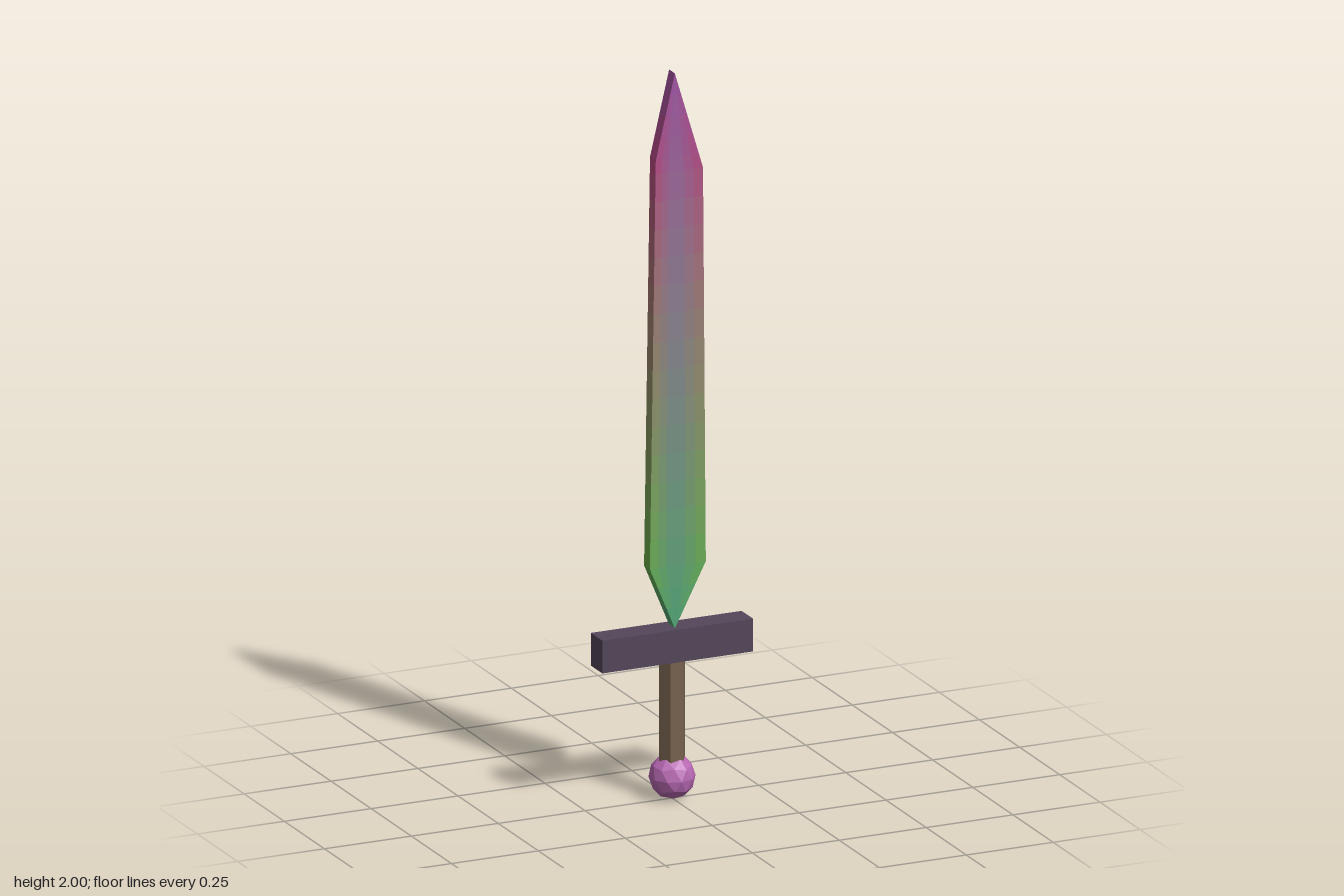
import * as THREE from 'three';

const mat = (color) => new THREE.MeshStandardMaterial({ color, flatShading: true });

function addPart(group, name, geometry, color, y) {
  const mesh = new THREE.Mesh(geometry, mat(color));
  mesh.name = name;
  mesh.position.y = y;
  group.add(mesh);
  return mesh;
}

// Piecewise-linear lookup in a list of [y, value] pairs
function sample(keys, y) {
  let i = 1;
  while (i < keys.length - 1 && y > keys[i][0]) i++;
  const [y0, v0] = keys[i - 1], [y1, v1] = keys[i];
  return THREE.MathUtils.lerp(v0, v1, THREE.MathUtils.clamp((y - y0) / (y1 - y0), 0, 1));
}

function sampleColor(keys, y) {
  const channel = (c) => sample(keys.map(([ky, hex]) => [ky, new THREE.Color(hex)[c]]), y);
  return new THREE.Color(channel('r'), channel('g'), channel('b'));
}

// Geometry from four-cornered faces, corners counter-clockwise from outside
function quads(faces) {
  const pos = [];
  for (const [a, b, c, d] of faces) pos.push(...a, ...b, ...c, ...a, ...c, ...d);
  const g = new THREE.BufferGeometry();
  g.setAttribute('position', new THREE.Float32BufferAttribute(pos, 3));
  g.computeVertexNormals();
  return g;
}

// Slightly lopsided flat blade, sliced into bands that shift in colour
function createBlade() {
  const blade = new THREE.Group();
  blade.name = 'blade';
  const half = 0.018, columns = 3;
  const leftEdge = [[0.472, 0], [0.645, 0.089], [1.73, 0.081], [2, 0]];
  const rightEdge = [[0.472, 0], [0.645, -0.072], [1.767, -0.055], [2, 0]];
  const edgeColors = [[0.472, 0x4fa578], [0.645, 0x68b048], [1.75, 0xb84880], [2, 0xa055a5]];
  const coreColors = [[0.472, 0x4fa578], [2, 0xa055a5]];

  // Band heights, with breaks at every corner of the outline
  const levels = [0.472];
  for (const [top, n] of [[0.645, 3], [1.73, 14], [1.767, 1], [2, 4]]) {
    const from = levels[levels.length - 1];
    for (let i = 1; i <= n; i++) levels.push(from + ((top - from) * i) / n);
  }

  for (let i = 0; i < levels.length - 1; i++) {
    const y0 = levels[i], y1 = levels[i + 1], mid = (y0 + y1) / 2;
    const l0 = sample(leftEdge, y0), l1 = sample(leftEdge, y1);
    const r0 = sample(rightEdge, y0), r1 = sample(rightEdge, y1);
    const edge = sampleColor(edgeColors, mid), core = sampleColor(coreColors, mid);

    // Back face and the two narrow sides
    addPart(blade, 'bladeShell', quads([
      [[l0, y0, -half], [r0, y0, -half], [r1, y1, -half], [l1, y1, -half]],
      [[l0, y0, half], [l0, y0, -half], [l1, y1, -half], [l1, y1, half]],
      [[r0, y0, -half], [r0, y0, half], [r1, y1, half], [r1, y1, -half]],
    ]), edge, 0);

    // Front face, blending from the centre line out to both edges
    for (let c = 0; c < columns; c++) {
      const a = c / columns, b = (c + 1) / columns;
      addPart(blade, 'bladeFront', quads([
        [[l0 * a, y0, half], [l0 * b, y0, half], [l1 * b, y1, half], [l1 * a, y1, half]],
        [[r0 * b, y0, half], [r0 * a, y0, half], [r1 * a, y1, half], [r1 * b, y1, half]],
      ]), core.clone().lerp(edge, (a + b) / 2), 0);
    }
  }
  return blade;
}

export function createModel() {
  const sword = new THREE.Group();
  sword.name = 'sword';

  // Faceted pommel, turned so that a corner points straight down
  const r = 0.062;
  const ball = new THREE.IcosahedronGeometry(r, 1);
  ball.rotateX(-Math.atan((1 + Math.sqrt(5)) / 2)).rotateY(Math.PI / 2);
  addPart(sword, 'pommel', ball, 0xb768b2, r);

  // Six-sided grip with corners to the left and right
  const grip = new THREE.CylinderGeometry(0.037, 0.037, 0.31, 6);
  grip.rotateY(Math.PI / 2);
  addPart(sword, 'grip', grip, 0x77624e, 0.235);

  // Crossguard
  addPart(sword, 'guard', new THREE.BoxGeometry(0.434, 0.09, 0.072), 0x54465a, 0.429);

  sword.add(createBlade());
  return sword;
}
